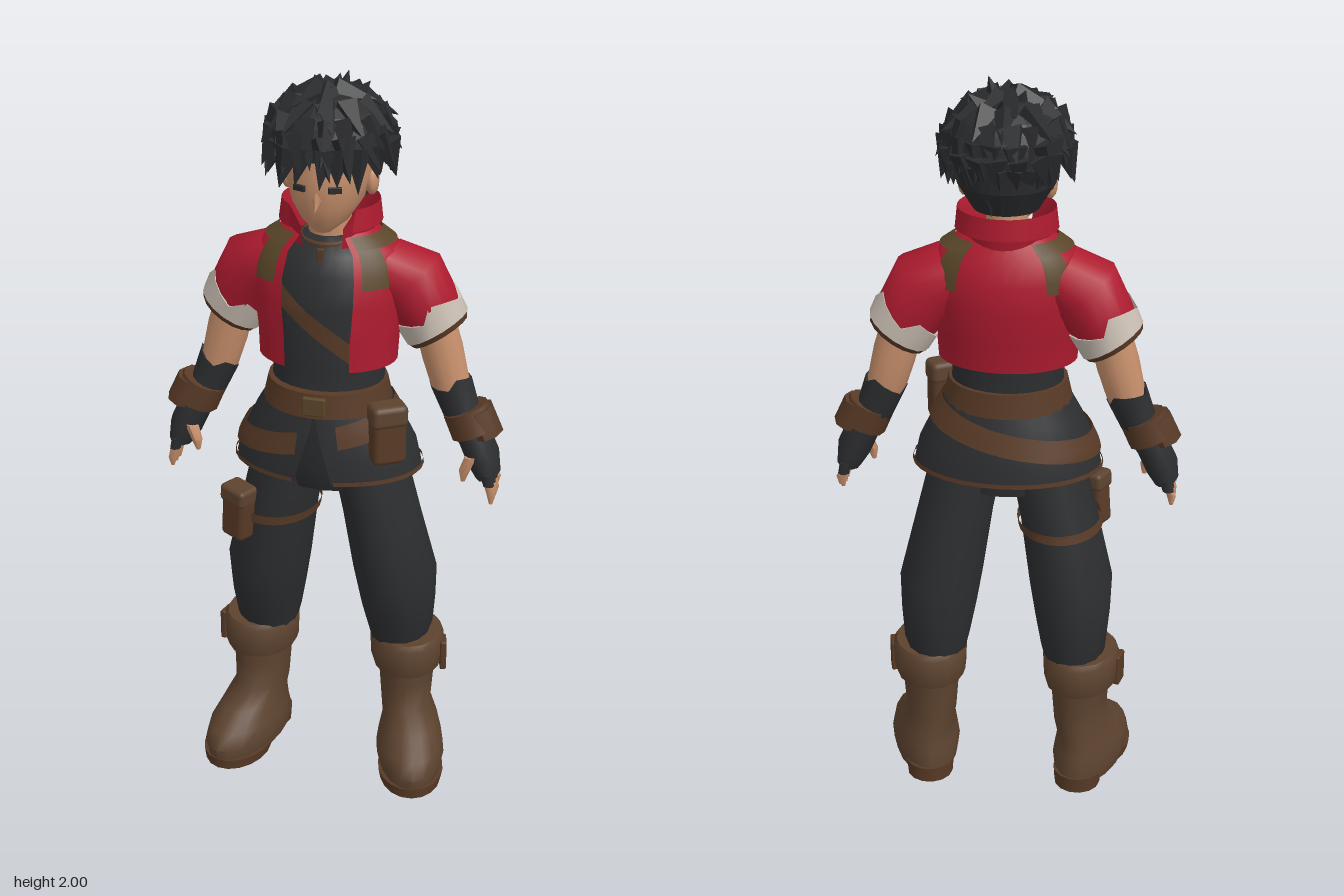
import * as THREE from 'three';
import { mergeGeometries, toCreasedNormals } from 'three/addons/utils/BufferGeometryUtils.js';
import { RoundedBoxGeometry } from 'three/addons/geometries/RoundedBoxGeometry.js';

const paint = (name, color) => new THREE.MeshStandardMaterial({ name, color, side: THREE.DoubleSide });

// Surface from rows of points; closed rows wrap round and can be capped.
function skin(rows, closed, cap, crease = 0.9) {
  const n = rows[0].length, pos = rows.flat(2), idx = [];
  for (let i = 0; i + 1 < rows.length; i++) {
    for (let j = 0; j < (closed ? n : n - 1); j++) {
      const k = (j + 1) % n, a = i * n + j, b = i * n + k;
      idx.push(a, b, b + n, a, b + n, a + n);
    }
  }
  if (cap) {
    const top = (rows.length - 1) * n;
    for (let j = 1; j + 1 < n; j++) idx.push(0, j + 1, j, top, top + j, top + j + 1);
  }
  const g = new THREE.BufferGeometry();
  g.setAttribute('position', new THREE.Float32BufferAttribute(pos, 3));
  g.setIndex(idx);
  return toCreasedNormals(g, crease);
}

// Loft of elliptical rings [x, y, z, rx, rz, tilt, jag]; gaps open the front by an angle per ring.
function loft(rings, n = 14, gaps = null) {
  const sorted = rings.slice().sort((a, b) => a[1] - b[1]);
  const rows = sorted.map(([x, y, z, rx, rz, t = 0, jag = 0], i) => {
    const gap = gaps ? gaps[Math.min(i, gaps.length - 1)] : 0, row = [];
    for (let j = 0; j < (gaps ? n + 1 : n); j++) {
      const a = gap + (j / n) * (2 * Math.PI - 2 * gap);
      const u = rx * Math.sin(a), v = jag * ((j * 3) % 4 - 1.5);
      row.push([x + u * Math.cos(t) - v * Math.sin(t), y + u * Math.sin(t) + v * Math.cos(t), z + rz * Math.cos(a)]);
    }
    return row;
  });
  return skin(rows, !gaps, !gaps);
}

// Thin strip laid on a loft, between heights lo(a) and hi(a) over an angle range.
function band(rings, a0, a1, lo, hi, off = 0.007, n = 28) {
  const rows = [];
  for (let i = 0; i <= 4; i++) {
    const row = [];
    for (let j = 0; j <= n; j++) {
      const a = a0 + (a1 - a0) * j / n, y = lo(a) + (hi(a) - lo(a)) * i / 4;
      let k = 0;
      while (k < rings.length - 2 && rings[k + 1][1] < y) k++;
      const p = rings[k], q = rings[k + 1], f = (y - p[1]) / (q[1] - p[1]);
      const [x, , z, rx, rz] = p.map((v, m) => v + (q[m] - v) * f);
      row.push([x + (rx + off) * Math.sin(a), y, z + (rz + off) * Math.cos(a)]);
    }
    rows.push(row);
  }
  return skin(rows, false, false);
}

function spike(base, tip, width, sides = 4) {
  const d = tip.clone().sub(base), len = d.length();
  const g = new THREE.ConeGeometry(width, len, sides, 1).translate(0, len / 2, 0);
  g.applyQuaternion(new THREE.Quaternion().setFromUnitVectors(new THREE.Vector3(0, 1, 0), d.normalize()));
  return g.translate(base.x, base.y, base.z);
}

export function createModel() {
  const model = new THREE.Group();
  const red = paint('jacketRed', 0xae1b2f), black = paint('clothCharcoal', 0x2d2e30);
  const hairMat = paint('hairBlack', 0x2a2b2d), skinMat = paint('skin', 0xc8906c);
  const boot = paint('bootBrown', 0x5d432f), leather = paint('leatherBrown', 0x583a26);
  const white = paint('cuffWhite', 0xc9beb2), olive = paint('strapOlive', 0x5a4629);
  hairMat.flatShading = true;
  const add = (name, geo, mat, parent = model) => {
    const m = new THREE.Mesh(geo, mat);
    m.name = name;
    parent.add(m);
    return m;
  };
  const box = (name, w, h, d, mat, x, y, z, ry = 0, rz = 0) => {
    const m = add(name, new RoundedBoxGeometry(w, h, d, 2, Math.min(w, h, d) * 0.25), mat);
    m.position.set(x, y, z);
    m.rotation.set(0, ry, rz);
  };
  const C = (v) => () => v;

  // Head and neck
  add('neck', loft([[0, 1.53, -0.02, 0.058, 0.058], [0, 1.67, -0.01, 0.052, 0.056]]), skinMat);
  add('head', loft([[0, 1.612, 0.06, 0.02, 0.018], [0, 1.64, 0.03, 0.06, 0.068], [0, 1.685, 0.008, 0.09, 0.11],
    [0, 1.76, 0, 0.112, 0.125], [0, 1.87, -0.01, 0.105, 0.115]], 18), skinMat);
  add('nose', spike(new THREE.Vector3(0, 1.72, 0.11), new THREE.Vector3(0, 1.682, 0.142), 0.016), skinMat);
  for (const s of [-1, 1]) {
    const ear = add('ear', new THREE.SphereGeometry(1, 10, 8), skinMat);
    ear.scale.set(0.018, 0.038, 0.026);
    ear.position.set(s * 0.108, 1.73, -0.01);
    box('eye', 0.034, 0.016, 0.008, hairMat, s * 0.045, 1.737, 0.114, s * 0.38);
  }

  // Hair: cap, nape and layered tufts swirling from the crown
  let seed = 7;
  const rnd = () => (seed = (seed * 16807) % 2147483647) / 2147483647;
  const onHead = (th, az, s) => {
    const r = th > 1.57 ? 1 - Math.max(0, -Math.cos(az)) * (th - 1.57) * 0.45 : Math.sin(th);
    return new THREE.Vector3(s * r * 0.15 * Math.sin(az), 1.83 + s * 0.122 * Math.cos(th), -0.015 + s * r * 0.152 * Math.cos(az));
  };
  const cap = new THREE.SphereGeometry(1, 18, 8, 0, Math.PI * 2, 0, 1.75).scale(0.152, 0.124, 0.154).translate(0, 1.83, -0.015);
  add('hairCap', cap, hairMat);
  add('hairNape', loft([[0, 1.675, -0.03, 0.085, 0.085], [0, 1.74, -0.025, 0.125, 0.125], [0, 1.85, -0.015, 0.148, 0.15]], 16, [1.75, 1.5, 1.1]), hairMat);
  const tufts = [];
  for (const [th, count, reach, lift] of [[0.3, 6, 0.5, 1.12], [0.75, 10, 0.55, 1.14], [1.1, 14, 0.6, 1.14], [1.4, 17, 0.6, 1.13], [1.65, 19, 0.62, 1.1]]) {
    for (let i = 0; i < count; i++) {
      const az = (i + rnd() * 0.5) / count * Math.PI * 2;
      const tip = onHead(th + reach * (0.75 + 0.4 * rnd()), az + 0.35 * (rnd() - 0.3), lift + 0.07 * rnd());
      tufts.push(spike(onHead(th - 0.15, az, 0.95), tip, 0.03 + 0.012 * rnd()));
    }
  }
  for (let i = 0; i < 9; i++) {
    const az = Math.PI + (i - 4) * 0.26;
    tufts.push(spike(onHead(1.75, az, 0.92), new THREE.Vector3(0.1 * Math.sin(az), 1.67 + 0.03 * rnd(), -0.02 + 0.1 * Math.cos(az)), 0.035));
  }
  for (const [x, y, z] of [[0.045, 2, -0.02], [-0.05, 1.975, -0.05], [0.09, 1.965, -0.06], [-0.11, 1.945, 0.02], [0, 1.965, -0.11]]) {
    tufts.push(spike(new THREE.Vector3(x * 0.5, 1.91, z * 0.6), new THREE.Vector3(x, y, z), 0.036));
  }
  add('hairTufts', mergeGeometries(tufts), hairMat);

  // Shirt, necklace and chest strap
  const shirt = [[0, 1.14, 0.005, 0.152, 0.125], [0, 1.24, 0, 0.145, 0.12], [0, 1.42, -0.005, 0.165, 0.13],
    [0, 1.5, -0.012, 0.165, 0.12], [0, 1.55, -0.015, 0.13, 0.1], [0, 1.59, -0.015, 0.068, 0.064]];
  add('shirt', loft(shirt, 24), black);
  add('chestStrap', band(shirt, -0.95, 0.75, (a) => 1.345 - a * 0.125, (a) => 1.4 - a * 0.125), leather);
  const necklace = add('necklace', new THREE.TorusGeometry(0.068, 0.008, 6, 24), leather);
  necklace.position.set(0, 1.583, -0.008);
  necklace.rotation.x = Math.PI / 2 + 0.15;
  box('pendant', 0.018, 0.045, 0.012, leather, 0, 1.55, 0.084);

  // Open jacket, collar and shoulder straps
  const jacket = [[0, 1.26, 0.005, 0.182, 0.135], [0, 1.34, 0, 0.186, 0.14], [0, 1.43, -0.01, 0.2, 0.148],
    [0, 1.5, -0.015, 0.2, 0.14], [0, 1.56, -0.02, 0.18, 0.12], [0, 1.605, -0.02, 0.115, 0.092]];
  add('jacket', loft(jacket, 28, [0.48]), red);
  add('collar', loft([[0, 1.57, -0.02, 0.105, 0.1], [0, 1.625, -0.02, 0.105, 0.108], [0, 1.675, -0.022, 0.125, 0.118, 0]], 22, [0.5, 0.55, 0.75]), red);
  add('collarFold', loft([[0, 1.62, -0.02, 0.132, 0.125], [0, 1.675, -0.022, 0.125, 0.118]], 22, [0.65, 0.75]), red);
  for (const s of [-1, 1]) {
    for (const [a, b] of [[0.58, 0.98], [2.16, 2.56]]) {
      add('shoulderStrap', band(jacket, s * a, s * b, C(1.48), C(1.6), 0.008, 6), olive);
    }
    add('shoulderStrapTop', band(jacket, s * 0.6, s * 2.5, C(1.575), C(1.602), 0.012, 12), olive);
  }

  // Arms: sleeve, turned cuff, forearm, glove, bracer and fingers
  for (const s of [-1, 1]) {
    const arm = new THREE.Group();
    arm.name = s > 0 ? 'leftArm' : 'rightArm';
    model.add(arm);
    const limb = (name, rings, mat, n) => add(name, loft(rings.map(([x, y, z, a, b, t = 0, j]) => [x * s, y, z, a, b, t * s, j]), n), mat, arm);
    limb('sleeve', [[0.13, 1.5, -0.025, 0.08, 0.095, 1], [0.2, 1.465, -0.04, 0.1, 0.098, 0.72], [0.25, 1.385, -0.047, 0.088, 0.088, 0.6], [0.268, 1.35, -0.05, 0.083, 0.08, 0.58]], red, 16);
    limb('sleeveCuff', [[0.247, 1.388, -0.047, 0.094, 0.091, 0.58, 0.012], [0.275, 1.338, -0.05, 0.091, 0.086, 0.58]], white, 16);
    limb('cuffEdge', [[0.274, 1.34, -0.05, 0.09, 0.086, 0.58], [0.282, 1.325, -0.05, 0.082, 0.077, 0.58]], leather, 16);
    limb('forearm', [[0.265, 1.36, -0.048, 0.055, 0.055, 0.4], [0.29, 1.27, -0.05, 0.057, 0.055, 0.35], [0.312, 1.19, -0.05, 0.052, 0.05, 0.35], [0.345, 1.1, -0.045, 0.044, 0.042, 0.4]], skinMat, 12);
    limb('glove', [[0.314, 1.19, -0.05, 0.056, 0.053, 0.35, 0.008], [0.35, 1.1, -0.045, 0.049, 0.047, 0.4], [0.385, 1.04, -0.04, 0.045, 0.05, 0.45], [0.41, 0.985, -0.037, 0.045, 0.056, 0.4], [0.425, 0.94, -0.035, 0.033, 0.052, 0.3]], black, 12);
    limb('bracer', [[0.355, 1.12, -0.042, 0.062, 0.058, 0.4], [0.385, 1.06, -0.038, 0.066, 0.062, 0.42]], leather, 12);
    limb('bracerPlate', [[0.39, 1.125, -0.04, 0.04, 0.05, 0.3], [0.42, 1.055, -0.037, 0.042, 0.052, 0.35]], leather, 8);
    for (let i = 0; i < 4; i++) {
      const z = -0.076 + i * 0.027, drop = i === 0 ? 0.02 : 0;
      limb('fingerGlove', [[0.425, 0.955, z, 0.017, 0.015], [0.433, 0.922, z, 0.015, 0.013]], black, 7);
      limb('finger', [[0.433, 0.925, z, 0.013, 0.012], [0.441, 0.895 + drop, z, 0.012, 0.011], [0.441, 0.87 + drop, z, 0.005, 0.005]], skinMat, 7);
    }
    limb('thumb', [[0.385, 1, 0, 0.02, 0.018, 0.2], [0.368, 0.96, 0.008, 0.015, 0.014], [0.365, 0.93, 0.008, 0.006, 0.006]], skinMat, 7);
  }

  // Belt, split hip skirt, slung belt and hip pouch
  const skirt = [[0, 0.955, -0.002, 0.25, 0.175], [0, 1.02, 0, 0.235, 0.172], [0, 1.1, 0.005, 0.195, 0.155], [0, 1.16, 0.008, 0.16, 0.138]];
  add('hips', loft([[0, 0.9, -0.01, 0.14, 0.11], [0, 0.98, 0, 0.19, 0.13], [0, 1.15, 0.005, 0.15, 0.125]], 18), black);
  add('hipSkirt', loft(skirt, 28, [0.2, 0.14, 0.05, 0.01]), black);
  add('skirtTrim', band(skirt, 0.22, Math.PI * 2 - 0.22, C(0.956), C(0.968), 0.006), leather);
  add('belt', loft([[0, 1.135, 0.008, 0.172, 0.148], [0, 1.2, 0.008, 0.157, 0.14]], 24), leather);
  const slung = (a) => 1.085 + 0.045 * Math.sin(a);
  add('slungBelt', band(skirt, 0.3, Math.PI * 2 - 0.2, (a) => slung(a) - 0.04, (a) => slung(a) + 0.02, 0.009, 36), leather);
  box('buckle', 0.06, 0.05, 0.016, olive, 0, 1.168, 0.152);
  box('hipPouch', 0.09, 0.16, 0.06, leather, 0.185, 1.1, 0.118, 0.55);
  box('hipPouchFlap', 0.096, 0.06, 0.068, boot, 0.185, 1.155, 0.119, 0.55);

  // Trousers and boots
  const leg = [[0.188, 0.39, -0.06, 0.078, 0.095], [0.19, 0.43, -0.058, 0.09, 0.108], [0.185, 0.52, -0.045, 0.103, 0.128],
    [0.178, 0.62, -0.035, 0.113, 0.143], [0.143, 0.8, -0.018, 0.104, 0.13], [0.11, 0.95, -0.01, 0.1, 0.126], [0.085, 1.08, 0, 0.085, 0.115]];
  for (const s of [-1, 1]) {
    const side = s > 0 ? 'left' : 'right';
    add(side + 'TrouserLeg', loft(leg.map(([x, ...r]) => [x * s, ...r]), 14), black);
    const g = new THREE.Group();
    g.name = side + 'Boot';
    g.position.set(s * 0.238, 0, 0);
    g.rotation.y = s * 0.25;
    model.add(g);
    const x = -0.012 * s;
    add('bootBody', loft([[0, 0.02, 0.004, 0.088, 0.175], [0, 0.06, 0.006, 0.096, 0.18], [0, 0.1, 0, 0.09, 0.162], [0, 0.14, -0.032, 0.078, 0.125],
      [x, 0.19, -0.058, 0.07, 0.096], [x, 0.27, -0.063, 0.076, 0.095], [x, 0.38, -0.063, 0.085, 0.102]], 18), boot, g);
    add('bootCuff', loft([[x, 0.31, -0.062, 0.094, 0.11], [x, 0.33, -0.062, 0.1, 0.116], [x, 0.4, -0.062, 0.103, 0.12], [x, 0.415, -0.062, 0.094, 0.11]], 16), boot, g);
    const sole = add('bootSole', loft([[0, 0, 0.065, 0.086, 0.115], [0, 0.03, 0.062, 0.092, 0.12]], 18), leather, g);
    sole.position.y = 0;
    add('bootHeel', loft([[0, 0, -0.112, 0.064, 0.064], [0, 0.045, -0.11, 0.068, 0.068]], 14), leather, g);
    const tab = add('bootTab', new RoundedBoxGeometry(0.018, 0.09, 0.05, 2, 0.005), leather, g);
    tab.position.set(x + s * 0.1, 0.35, -0.03);
  }

  // Thigh strap and holster pouch
  const rightLeg = leg.map(([x, ...r]) => [-x, ...r]);
  add('thighStrap', band(rightLeg, 0, Math.PI * 2, C(0.785), C(0.81), 0.009), leather);
  box('thighPouch', 0.08, 0.15, 0.06, leather, -0.225, 0.805, 0.098, -0.5, -0.08);
  box('thighPouchFlap', 0.086, 0.05, 0.068, boot, -0.223, 0.86, 0.098, -0.5, -0.08);
  return model;
}
